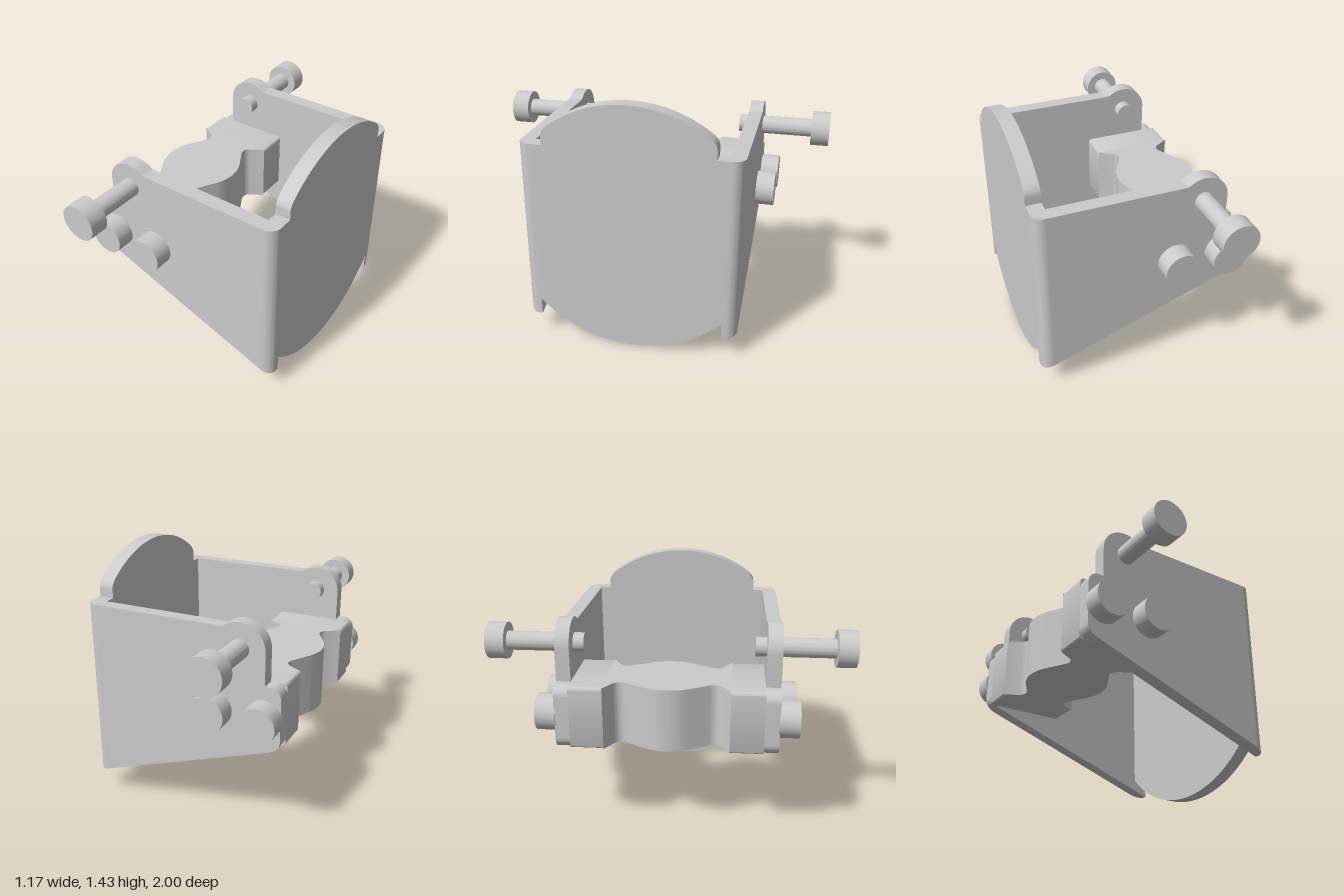
import * as THREE from 'three';
import { toCreasedNormals } from 'three/addons/utils/BufferGeometryUtils.js';

const material = new THREE.MeshStandardMaterial({ color: 0xcccccc });
const IN = 0.525, OUT = 0.605;       // inner and outer faces of the side plates (z)
const BACK_IN = 0.5, BACK_OUT = 0.585; // faces of the end plate (x)
const TOP = 1.18;
const JAW_X = -0.343, JAW_LOW = 0.54, JAW_HIGH = 0.895, JAW_HALF = 0.232;
const slopeY = x => 0.13 + (BACK_OUT - x) * 0.36; // slanted lower edge

function extrude(shape, depth) {
  return new THREE.ExtrudeGeometry(shape, { depth, bevelEnabled: false, curveSegments: 24 });
}

function add(parent, name, geometry) {
  const mesh = new THREE.Mesh(toCreasedNormals(geometry, 0.5), material);
  mesh.name = name;
  parent.add(mesh);
  return mesh;
}

// Cylinder along z between two depths
function rod(parent, name, x, y, radius, z0, z1) {
  const g = new THREE.CylinderGeometry(radius, radius, Math.abs(z1 - z0), 48);
  g.rotateX(Math.PI / 2).translate(x, y, (z0 + z1) / 2);
  return add(parent, name, g);
}

// Side plate outline with the rounded ear for the clamp screw
function sideShape() {
  const s = new THREE.Shape();
  s.moveTo(BACK_IN, slopeY(BACK_IN));
  s.lineTo(-0.51, slopeY(-0.51));
  s.quadraticCurveTo(-0.575, slopeY(-0.575), -0.575, 0.6);
  s.lineTo(-0.575, 0.835);
  s.absarc(-0.515, 0.835, 0.06, Math.PI, Math.PI / 2, true);
  s.lineTo(-0.486, 0.895);
  s.lineTo(-0.486, 1.073);
  s.absarc(-0.344, 1.073, 0.142, Math.PI, 0.96, true);
  s.quadraticCurveTo(-0.25, TOP, -0.235, TOP);
  s.lineTo(BACK_IN, TOP);
  return s;
}

// Rounded vertical bend joining side and end plates
function bendGeometry(side) {
  const r = 0.065, s = new THREE.Shape();
  s.moveTo(BACK_IN, IN);
  s.lineTo(BACK_OUT, IN);
  s.lineTo(BACK_OUT, OUT - r);
  s.absarc(BACK_OUT - r, OUT - r, r, 0, Math.PI / 2, false);
  s.lineTo(BACK_IN, OUT);
  const flipped = new THREE.Shape(s.getPoints(24).map(p => new THREE.Vector2(p.x, -side * p.y)));
  const g = extrude(flipped, 1).rotateX(-Math.PI / 2);
  const p = g.attributes.position;
  for (let i = 0; i < p.count; i++) p.setY(i, p.getY(i) > 0.5 ? TOP : slopeY(p.getX(i)));
  g.computeVertexNormals();
  return g;
}

// End plate: arcs above and below, with square shoulders
function endShape() {
  const R = 0.715, s = new THREE.Shape();
  const low = Math.asin(IN / R), high = Math.asin(0.425 / R);
  s.absarc(0, R, R, -Math.PI / 2 - low, -Math.PI / 2 + low, false);
  s.lineTo(IN, TOP);
  s.lineTo(0.465, TOP);
  s.lineTo(0.465, 1.225);
  s.quadraticCurveTo(0.465, 1.262, 0.425, R + R * Math.cos(high));
  s.absarc(0, R, R, Math.PI / 2 - high, Math.PI / 2 + high, false);
  s.quadraticCurveTo(-0.465, 1.262, -0.465, 1.225);
  s.lineTo(-0.465, TOP);
  s.lineTo(-IN, TOP);
  return s;
}

// Plan of the jaw's waisted middle, one edge mirrored to the other side
function jawShape() {
  const edge = new THREE.Path();
  edge.moveTo(JAW_HALF, -0.342);
  edge.lineTo(0.153, -0.296);
  edge.quadraticCurveTo(0.118, -0.268, 0.142, -0.222);
  edge.lineTo(0.202, -0.118);
  edge.quadraticCurveTo(JAW_HALF, -0.06, JAW_HALF, 0);
  const half = edge.getPoints(16);
  const right = half.concat(half.slice(0, -1).reverse().map(p => new THREE.Vector2(p.x, -p.y)));
  const left = right.slice().reverse().map(p => new THREE.Vector2(-p.x, p.y));
  return new THREE.Shape(right.concat(left));
}

// Jaw end block section with softened edges
function blockShape() {
  const w = JAW_HALF, h = (JAW_HIGH - JAW_LOW) / 2, r = 0.018;
  const s = new THREE.Shape();
  s.absarc(w - r, h - r, r, 0, Math.PI / 2, false);
  s.absarc(r - w, h - r, r, Math.PI / 2, Math.PI, false);
  s.absarc(r - w, r - h, r, Math.PI, Math.PI * 1.5, false);
  s.absarc(w - r, r - h, r, Math.PI * 1.5, Math.PI * 2, false);
  return s;
}

export function createModel() {
  const model = new THREE.Group();
  model.name = 'clampBracket';

  const bracket = new THREE.Group();
  bracket.name = 'bracket';
  const jaw = new THREE.Group();
  jaw.name = 'jaw';
  model.add(bracket, jaw);

  add(bracket, 'endPlate', extrude(endShape(), BACK_OUT - BACK_IN)
    .rotateY(Math.PI / 2).translate(BACK_IN, 0, 0));
  add(jaw, 'jawMiddle', extrude(jawShape(), JAW_HIGH - JAW_LOW)
    .rotateX(-Math.PI / 2).translate(JAW_X, JAW_LOW, 0));

  for (const side of [1, -1]) {
    const label = side > 0 ? 'front' : 'back';
    add(bracket, label + 'SidePlate', extrude(sideShape(), OUT - IN)
      .translate(0, 0, side > 0 ? IN : -OUT));
    add(bracket, label + 'Bend', bendGeometry(side));
    add(jaw, label + 'JawBlock', extrude(blockShape(), IN - 0.342)
      .translate(JAW_X, (JAW_LOW + JAW_HIGH) / 2, side > 0 ? 0.342 : -IN));

    // Long clamp screw through the ear
    const screw = new THREE.Group();
    screw.name = label + 'ClampScrew';
    rod(screw, 'screwShaft', -0.344, 1.075, 0.053, side * 0.465, side * 0.91);
    rod(screw, 'screwHead', -0.344, 1.075, 0.102, side * 0.895, side);
    model.add(screw);

    // Two short bolts holding the jaw
    for (const x of [-0.485, -0.2]) rod(model, label + 'JawBolt', x, 0.717, 0.102, side * 0.6, side * 0.712);
  }
  return model;
}
